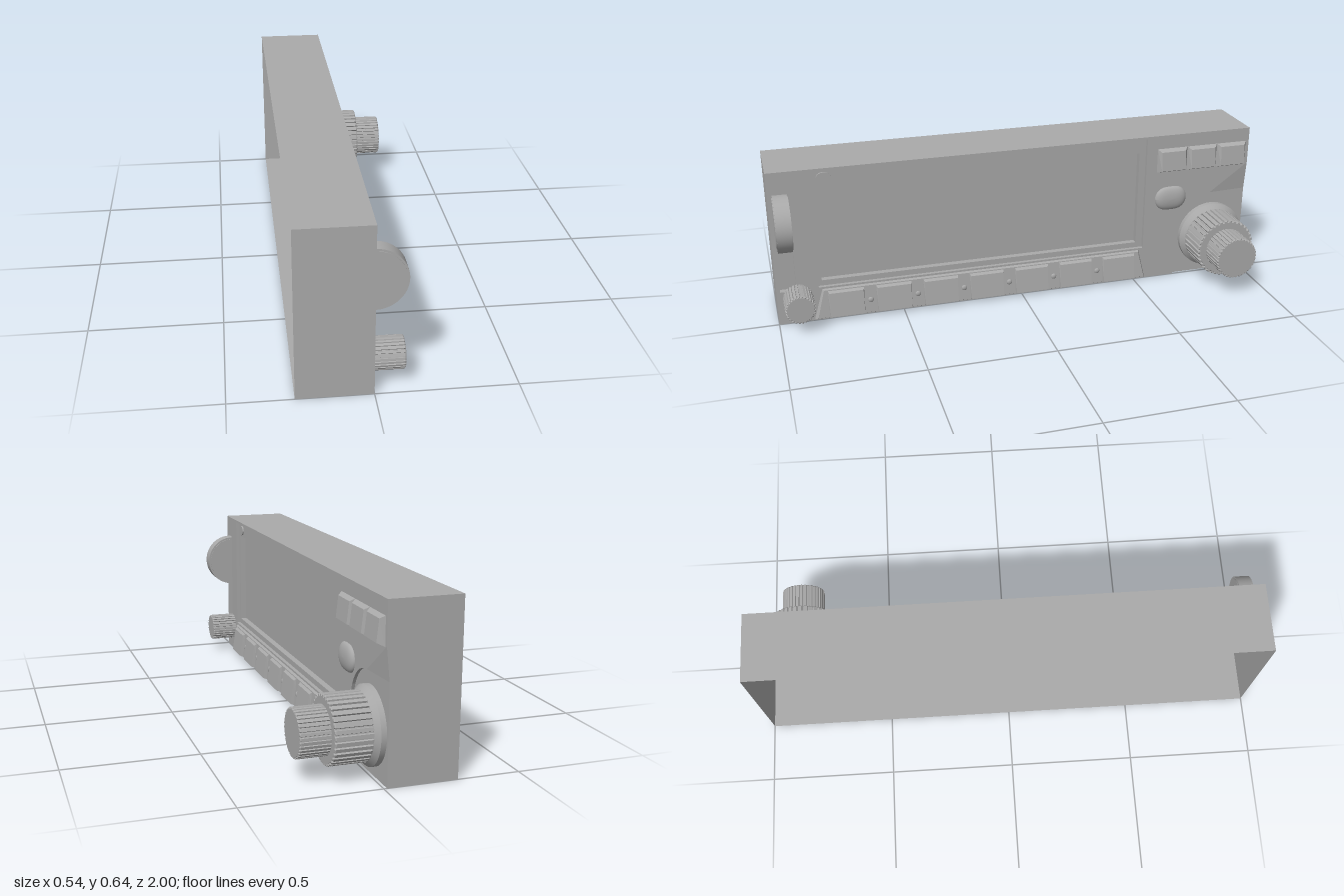
import * as THREE from 'three';

const grey = new THREE.MeshStandardMaterial({ color: 0xaaaaaa, side: THREE.DoubleSide });
grey.name = 'plain grey';

// Everything is laid out on the fascia: u along the panel, v up, w out of it.
export function createModel() {
  const model = new THREE.Group();
  model.name = 'controlPanel';
  const face = new THREE.Group();
  face.name = 'fasciaFrame';
  face.rotation.y = Math.PI / 2;
  model.add(face);

  const add = (name, geometry, u = 0, v = 0, w = 0) => {
    const mesh = new THREE.Mesh(geometry, grey);
    mesh.name = name;
    mesh.position.set(u, v, w);
    face.add(mesh);
    return mesh;
  };
  const polygon = (pts) => new THREE.Shape(pts.map((p) => new THREE.Vector2(p[0], p[1])));
  const rect = (u0, v0, u1, v1) => [[u0, v0], [u1, v0], [u1, v1], [u0, v1]];
  const surface = (tris) => {
    const g = new THREE.BufferGeometry();
    g.setAttribute('position', new THREE.Float32BufferAttribute(tris.flat(), 3));
    g.computeVertexNormals();
    return g;
  };
  // Wall along points [u, v, wBack, wFront]
  const ribbon = (pts) => {
    const tris = [];
    for (let i = 0; i + 1 < pts.length; i++) {
      const [a, b, c, d] = pts[i], [e, f, g, h] = pts[i + 1];
      tris.push([a, b, c], [e, f, g], [e, f, h], [a, b, c], [e, f, h], [a, b, d]);
    }
    return surface(tris);
  };
  const ring = (pts, w0, w1) => ribbon([...pts, pts[0]].map(([u, v]) => [u, v, w0, w1]));
  // Hollow raised block: base outline on the panel, smaller sloping top
  const raised = (base, top, wBase = 0) => {
    const tris = [];
    base.forEach((p, i) => {
      const j = (i + 1) % base.length;
      const a = [...p, wBase], b = [...base[j], wBase];
      tris.push(a, b, top[j], a, top[j], top[i]);
    });
    tris.push(top[0], top[1], top[2], top[0], top[2], top[3]);
    return surface(tris);
  };

  // Outlines
  const display = rect(-0.835, 0.142, 0.54, 0.63);
  const screen = rect(-0.82, 0.165, 0.512, 0.568);
  const slot = rect(-0.985, 0.14, -0.922, 0.55);
  const bay = [[-0.86, 0.004], [0.553, 0.004], [0.52, 0.134], [-0.822, 0.134]];
  const dip = -0.012;
  const arc = [];
  for (let i = 0; i <= 10; i++) {
    const t = (i / 10) * Math.PI / 2;
    arc.push([0.835 - 0.15 * Math.cos(t), 0.2 + 0.165 * Math.sin(t)]);
  }
  const recess = [[0.685, 0], ...arc];
  const rampStart = arc[arc.length - 1];

  // Open-backed case
  const back = -0.27;
  add('caseWalls', ribbon([
    [1, 0.365, back, dip], [1, 0.485, back, 0], [1, 0.64, back, 0], [-1, 0.64, back, 0],
    [-1, 0, back, 0], [0.685, 0, back, 0], [0.685, 0, back, dip], [1, 0, back, dip], [1, 0.365, back, dip],
  ]));

  // Front panel with openings
  const panel = polygon([[-1, 0], ...recess, [0.92, 0.485], [1, 0.485], [1, 0.64], [-1, 0.64]]);
  [display, slot, bay].forEach((h) => panel.holes.push(polygon(h)));
  add('frontPanel', new THREE.ShapeGeometry(panel));

  // Shallow recess around the large knob, with a ramp above
  add('knobRecessFloor', new THREE.ShapeGeometry(polygon([...recess, [1, 0.365], [1, 0]])), 0, 0, dip);
  add('knobRecessWall', ribbon([...recess.map(([u, v]) => [u, v, dip, 0]), [1, 0.365, dip, dip]]));
  const rampA = [...rampStart, 0], rampD = [1, 0.365, dip];
  add('recessRamp', surface([rampA, rampD, [1, 0.485, 0], rampA, [1, 0.485, 0], [0.92, 0.485, 0]]));

  // Stepped display
  const bezel = polygon(display);
  bezel.holes.push(polygon(screen));
  add('displayOuterStep', ring(display, -0.015, 0));
  add('displayBezel', new THREE.ShapeGeometry(bezel), 0, 0, -0.015);
  add('displayInnerStep', ring(screen, -0.04, -0.015));
  add('screen', new THREE.ShapeGeometry(polygon(screen)), 0, 0, -0.04);

  // Light sensor in the bezel corner
  const sensor = new THREE.CylinderGeometry(0.022, 0.022, 0.006, 20).rotateX(Math.PI / 2).scale(1.3, 1, 1);
  add('lightSensor', sensor, -0.783, 0.598, -0.012);

  // Thumbwheel in its slot
  add('slotWall', ring(slot, -0.025, 0));
  add('slotFloor', new THREE.ShapeGeometry(polygon(slot)), 0, 0, -0.025);
  for (const [name, r, width] of [['thumbwheelRim', 0.113, 0.056], ['thumbwheelDisc', 0.105, 0.062]]) {
    const wheel = new THREE.CylinderGeometry(r, r, width, 48, 1, false, -Math.PI / 2 - 0.2, Math.PI + 0.4);
    add(name, wheel.rotateZ(Math.PI / 2), -0.953, 0.432, 0);
  }

  // Lower key strip: sloping base and seven keys
  add('keyBase', raised(bay, [
    [-0.848, 0.015, 0.02], [0.542, 0.015, 0.02], [0.515, 0.13, 0.01], [-0.817, 0.13, 0.01]]));
  for (let i = 0; i < 7; i++) {
    const u = -0.73 + i * 0.1925;
    add('lowerKey' + (i + 1), raised(rect(u - 0.073, 0.012, u + 0.073, 0.128), [
      [u - 0.068, 0.02, 0.033], [u + 0.068, 0.02, 0.033],
      [u + 0.068, 0.118, 0.02], [u - 0.068, 0.118, 0.02]], 0.008));
    // small rib in the gap between keys
    if (i < 6) {
      add('keyGapRib', new THREE.SphereGeometry(0.012, 10, 6).scale(1, 1, 0.5), u + 0.096, 0.068, 0.015);
    }
  }

  // Three upper keys
  for (let i = 0; i < 3; i++) {
    const u = 0.653 + i * 0.1335;
    add('upperKey' + (i + 1), raised(rect(u - 0.066, 0.48, u + 0.066, 0.583), [
      [u - 0.053, 0.492, 0.026], [u + 0.053, 0.492, 0.026],
      [u + 0.053, 0.572, 0.017], [u - 0.053, 0.572, 0.017]]));
  }

  // Domed oval button
  const dome = new THREE.SphereGeometry(1, 32, 8, 0, Math.PI * 2, 0, Math.PI / 2).rotateX(Math.PI / 2);
  const p = dome.attributes.position;
  for (let i = 0; i < p.count; i++) {
    const x = p.getX(i), y = p.getY(i);
    p.setXYZ(i, x * 0.05 + 0.02 * Math.tanh(x * 4), y * 0.052, p.getZ(i) * 0.02);
  }
  dome.computeVertexNormals();
  add('ovalButton', dome, 0.655, 0.36, 0);

  // Knurled knobs
  const knurled = (r, teeth, groove, length) => {
    const pts = [];
    for (let i = 0; i < teeth; i++) {
      for (const [f, d] of [[0, 0], [0.6, 0], [0.7, groove], [0.9, groove]]) {
        const t = ((i + f) / teeth) * Math.PI * 2;
        pts.push([(r - d) * Math.cos(t), (r - d) * Math.sin(t)]);
      }
    }
    return new THREE.ExtrudeGeometry(polygon(pts), {
      depth: length - 0.004, bevelEnabled: true, bevelSegments: 1,
      bevelThickness: 0.004, bevelSize: 0.003, bevelOffset: -0.003,
    });
  };
  const ku = 0.848, kv = 0.172;
  const collar = new THREE.LatheGeometry(
    [[0.142, dip], [0.142, 0.008], [0.142, 0.008], [0.122, 0.027], [0.122, 0.027], [0.05, 0.027]]
      .map(([r, w]) => new THREE.Vector2(r, w)), 48).rotateX(Math.PI / 2);
  add('knobCollar', collar, ku, kv);
  add('outerKnob', knurled(0.124, 36, 0.007, 0.138), ku, kv, 0.022);
  add('innerKnob', knurled(0.088, 36, 0.004, 0.112), ku, kv, 0.157);
  add('smallKnob', knurled(0.059, 28, 0.004, 0.111), -0.918, 0.108, 0);

  return model;
}
